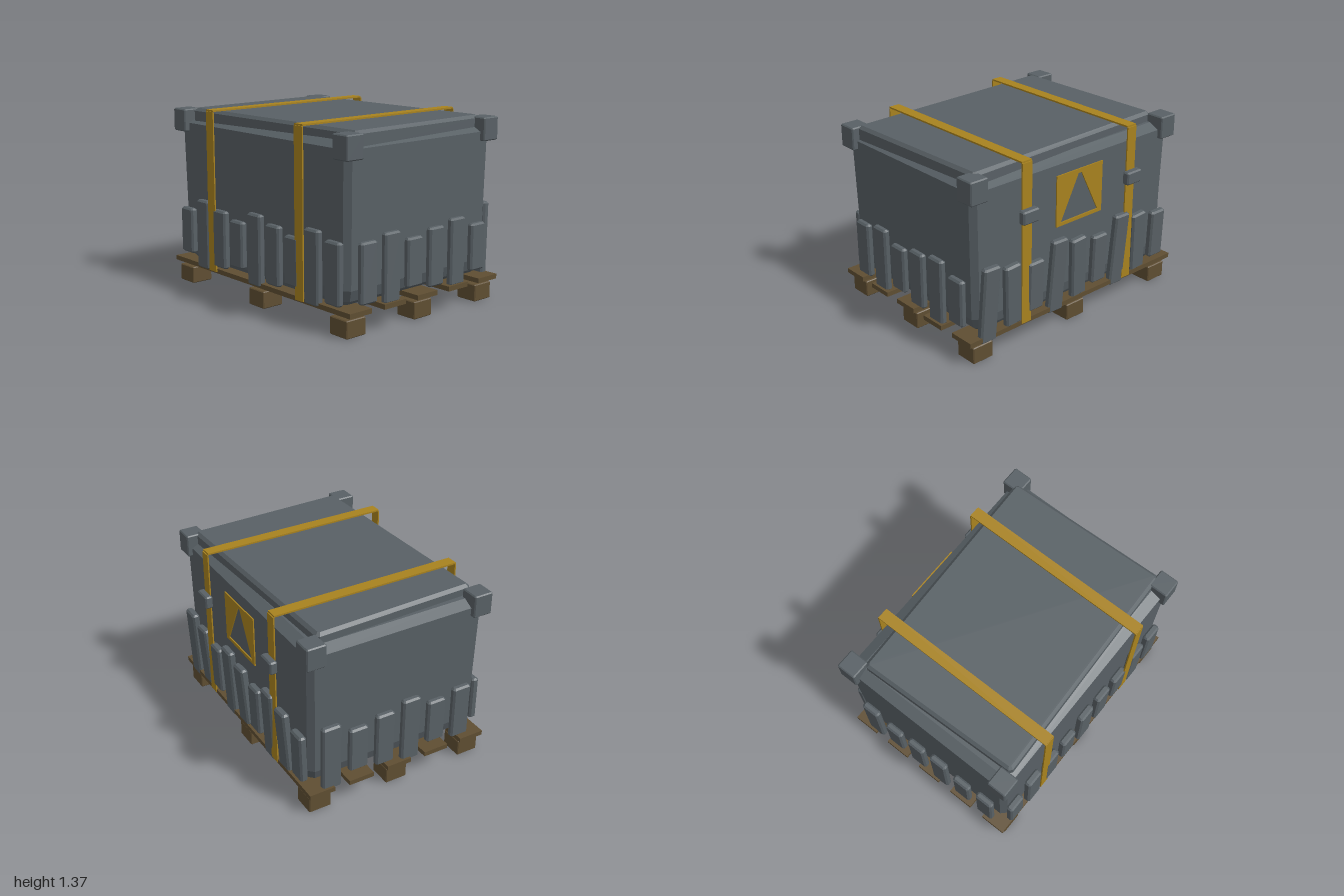
import * as THREE from 'three';

const mat = (name, color) => {
  const m = new THREE.MeshStandardMaterial({ color });
  m.name = name;
  return m;
};

// Stack of corner-cut rectangles; each level is [y, halfX, halfZ, cornerCut]
function loft(levels) {
  const rings = levels.map(([y, hx, hz, c]) => [
    [hx, hz - c], [hx, c - hz], [hx - c, -hz], [c - hx, -hz],
    [-hx, c - hz], [-hx, hz - c], [c - hx, hz], [hx - c, hz],
  ].map(([x, z]) => [x, y, z]));
  const pos = [];
  const tri = (a, b, c) => pos.push(...a, ...b, ...c);
  for (let k = 0; k + 1 < rings.length; k++) {
    const lo = rings[k], hi = rings[k + 1];
    for (let i = 0; i < 8; i++) {
      const j = (i + 1) % 8;
      tri(lo[i], lo[j], hi[j]);
      tri(lo[i], hi[j], hi[i]);
    }
  }
  const top = rings[rings.length - 1], bottom = rings[0];
  for (let i = 1; i < 7; i++) {
    tri(top[0], top[i], top[i + 1]);
    tri(bottom[0], bottom[i + 1], bottom[i]);
  }
  const g = new THREE.BufferGeometry();
  g.setAttribute('position', new THREE.Float32BufferAttribute(pos, 3));
  g.computeVertexNormals();
  return g;
}

// Box with bevelled edges
function bevelBox(w, h, d, b) {
  const x = w / 2, y = h / 2, z = d / 2;
  return loft([
    [-y, x - b, z - b, b / 2], [b - y, x, z, b],
    [y - b, x, z, b], [y, x - b, z - b, b / 2],
  ]);
}

export function createModel() {
  const root = new THREE.Group();
  root.name = 'cargoCrate';
  const metal = mat('greyMetal', 0x586065);
  const wood = mat('brownWood', 0x5f4e32);
  const yellow = mat('strapYellow', 0xa8821f);

  const group = (name) => {
    const g = new THREE.Group();
    g.name = name;
    root.add(g);
    return g;
  };
  const add = (parent, name, geo, material, x, y, z) => {
    const m = new THREE.Mesh(geo, material);
    m.name = name;
    m.position.set(x, y, z);
    parent.add(m);
    return m;
  };

  // Pallet: five slats on nine blocks
  const pallet = group('pallet');
  for (let i = 0; i < 5; i++) {
    add(pallet, 'palletSlat', new THREE.BoxGeometry(2, 0.035, 0.196), wood, 0, 0.168, 0.647 - i * 0.3125);
  }
  for (const x of [-0.875, 0, 0.875]) {
    for (const z of [0.65, 0.025, -0.6]) {
      add(pallet, 'palletBlock', bevelBox(0.17, 0.125, 0.17, 0.006), wood, x, 0.0625, z);
    }
  }

  // Container body, tapering slightly to a chamfered base and rim
  add(root, 'body', loft([
    [0.19, 0.85, 0.635, 0.03], [0.22, 0.885, 0.655, 0.035], [0.3, 0.915, 0.675, 0.04],
    [1.235, 0.935, 0.687, 0.04], [1.275, 0.86, 0.61, 0.03],
  ]), metal, 0, 0, 0.022);

  // Lid, set slightly askew
  add(root, 'lid', bevelBox(1.74, 0.15, 1.24, 0.022), metal, 0.03, 1.273, 0.03).rotation.y = 0.033;

  // Corner caps
  for (const x of [-0.9, 0.9]) {
    for (const z of [0.675, -0.628]) {
      add(root, 'cornerCap', bevelBox(0.147, 0.168, 0.147, 0.008), metal, x, 1.254, z);
    }
  }

  // Armour planks; kinds are 0 short, 1 tall, 2 medium
  const plank = (parent, w, h, d) => add(parent, 'armourPlank', bevelBox(w, h, d, 0.013), metal, 0, 0.4175, 0);
  const front = group('frontPlanks'), back = group('backPlanks');
  for (let i = 0; i < 9; i++) {
    const x = -0.83 + i * 0.207;
    const p = plank(front, 0.145, [0.345, 0.52, 0.43][i % 3], 0.056);
    p.position.set(x, 0.4175, 0.728);
    const kind = i % 3;
    const q = plank(back, 0.14, [0.375, 0.47, 0.57][kind], 0.056);
    q.position.set(x, 0.4175, -0.69);
    q.rotation.set([-0.03, -0.05, -0.06][kind], 0, [0, -0.06, 0.03][kind]);
  }
  for (const side of [-1, 1]) {
    const sidePlanks = group(side > 0 ? 'leftPlanks' : 'rightPlanks');
    const heights = side > 0 ? [0.42, 0.485, 0.345] : [0.42, 0.345, 0.515];
    for (let i = 0; i < 6; i++) {
      const p = plank(sidePlanks, 0.052, heights[i % 3], 0.145);
      p.position.set(side * 0.956, 0.4175, 0.55 - i * 0.213);
    }
  }

  // Straps with a buckle at the back
  for (const x of [-0.5, 0.5]) {
    const strap = group('strap');
    add(strap, 'strapFront', new THREE.BoxGeometry(0.085, 1.19, 0.01), yellow, x, 0.757, 0.749);
    add(strap, 'strapTop', new THREE.BoxGeometry(0.085, 0.012, 1.45), yellow, x, 1.359, 0.025);
    add(strap, 'strapBack', new THREE.BoxGeometry(0.085, 1.19, 0.01), yellow, x, 0.757, -0.702);
    add(strap, 'buckle', bevelBox(0.145, 0.097, 0.058, 0.01), metal, x, 0.98, -0.727);
  }

  // Warning plate on the back with a triangular opening
  const plate = new THREE.Shape([[-0.22, -0.19], [0.22, -0.19], [0.22, 0.19], [-0.22, 0.19]]
    .map(([x, y]) => new THREE.Vector2(x, y)));
  plate.holes.push(new THREE.Path([[-0.18, -0.165], [-0.015, 0.16], [0.015, 0.16], [0.18, -0.165]]
    .map(([x, y]) => new THREE.Vector2(x, y))));
  add(root, 'warningPlate', new THREE.ExtrudeGeometry(plate, { depth: 0.009, bevelEnabled: false }),
    yellow, 0, 0.98, -0.697);

  return root;
}
